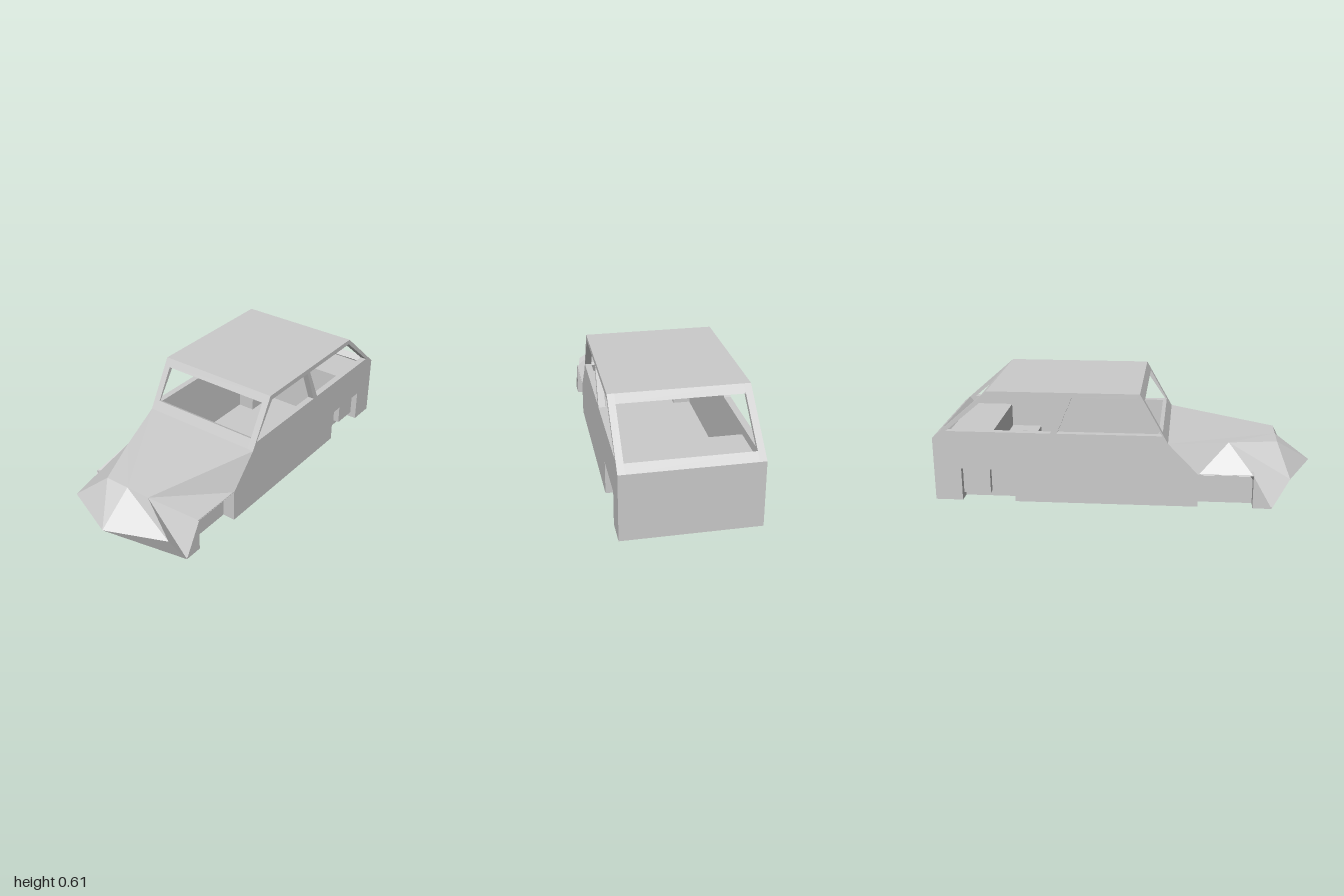
import * as THREE from 'three';

const material = new THREE.MeshStandardMaterial({ color: 0xcccccc, flatShading: true, side: THREE.DoubleSide });
const W = 0.345, IN = 0.31; // outer and inner half width
const toPath = (pts) => pts.map(([a, b]) => new THREE.Vector2(a, b));

// Extrude a (z, y) cross-section along x from x0 to x1
function prism(name, pts, x0, x1, holes = []) {
  const shape = new THREE.Shape(toPath(pts));
  holes.forEach((h) => shape.holes.push(new THREE.Path(toPath(h))));
  const geo = new THREE.ExtrudeGeometry(shape, { depth: x1 - x0, bevelEnabled: false });
  geo.rotateY(-Math.PI / 2).translate(x1, 0, 0);
  const mesh = new THREE.Mesh(geo, material);
  mesh.name = name;
  return mesh;
}

// Faceted shell; each triangle is turned to face away from the centre
function facets(name, tris, centre) {
  const pos = [];
  for (const tri of tris) {
    const [a, b, c] = tri.map((p) => new THREE.Vector3(...p));
    const n = b.clone().sub(a).cross(c.clone().sub(a));
    const out = a.clone().add(b).add(c).divideScalar(3).sub(centre);
    const order = n.dot(out) < 0 ? [a, c, b] : [a, b, c];
    order.forEach((v) => pos.push(v.x, v.y, v.z));
  }
  const geo = new THREE.BufferGeometry();
  geo.setAttribute('position', new THREE.Float32BufferAttribute(pos, 3));
  geo.computeVertexNormals();
  const mesh = new THREE.Mesh(geo, material);
  mesh.name = name;
  return mesh;
}

export function createModel() {
  const car = new THREE.Group();
  car.name = 'car';

  // Side walls with rear wheel notch and two windows
  const sideProfile = [
    [-1, 0], [-0.855, 0], [-0.855, 0.178], [-0.57, 0.178], [-0.57, 0], [0.395, 0], [0.395, 0.178],
    [0.235, 0.345], [0.09, 0.605], [-0.7, 0.605], [-1, 0.345],
  ];
  const frontWindow = [[0.205, 0.385], [0.075, 0.578], [-0.26, 0.578], [-0.34, 0.385]];
  const rearWindow = [[-0.375, 0.385], [-0.285, 0.578], [-0.695, 0.578], [-0.925, 0.385]];
  for (const [name, x0, x1] of [['leftSide', IN, W], ['rightSide', -W, -IN]]) {
    car.add(prism(name, sideProfile, x0, x1, [frontWindow, rearWindow]));
  }

  // Cross pieces between the side walls
  car.add(prism('roof', [[0.09, 0.605], [0.113, 0.564], [0.075, 0.578], [-0.69, 0.578], [-0.74, 0.57], [-0.7, 0.605]], -IN, IN));
  car.add(prism('cowl', [[0.235, 0.345], [0.207, 0.395], [0.185, 0.385], [0.205, 0.34]], -IN, IN));
  car.add(prism('tailPanel', [[-1, 0], [-1, 0.345], [-0.96, 0.38], [-0.935, 0.35], [-0.965, 0.32], [-0.965, 0]], -IN, IN));
  car.add(prism('rearShelf', [[-0.965, 0.03], [-0.965, 0.34], [-0.71, 0.34], [-0.71, 0.03]], -IN, IN));

  // Floor, notched around the four wheel wells
  const WELL = 0.275;
  const half = [
    [IN, -0.965], [IN, -0.855], [WELL, -0.855], [WELL, -0.57], [IN, -0.57],
    [IN, 0.395], [WELL, 0.395], [WELL, 0.68], [W, 0.68], [W, 0.78],
  ];
  const outline = [...half, ...half.map(([x, z]) => [-x, z]).reverse()];
  const floorGeo = new THREE.ExtrudeGeometry(new THREE.Shape(toPath(outline)), { depth: 0.01, bevelEnabled: false });
  floorGeo.rotateX(Math.PI / 2).translate(0, 0.01, 0);
  const floor = new THREE.Mesh(floorGeo, material);
  floor.name = 'floor';
  car.add(floor);

  // Wheel wells: an arch liner plus a thick inner wall
  for (const [label, z0, z1, t] of [['front', 0.395, 0.68, 0.004], ['rear', -0.855, -0.57, 0.03]]) {
    const top = 0.178;
    const arch = [
      [z0, 0], [z0, top], [z1, top], [z1, 0],
      [z1 + t, 0], [z1 + t, top + t], [z0 - t, top + t], [z0 - t, 0],
    ];
    const wall = [[z0 - t, 0], [z0 - t, top + t], [z1 + t, top + t], [z1 + t, 0]];
    const reach = label === 'front' ? W - 0.001 : IN;
    for (const s of [-1, 1]) {
      const span = (a, b) => (s > 0 ? [a, b] : [-b, -a]);
      car.add(prism(label + 'WheelArch', arch, ...span(WELL, reach)));
      car.add(prism(label + 'WellWall', wall, ...span(0.21, WELL)));
    }
  }

  // Bonnet, wings and pointed nose; the right wing meets the bonnet further back
  const cowlL = [W, 0.345, 0.235], cowlR = [-W, 0.345, 0.235];
  const lipL = [0.135, 0.3, 0.81], lipC = [0, 0.3, 0.81], lipR = [-0.135, 0.3, 0.81];
  const creaseR = [-0.235, 0.323, 0.55];
  const noseL = [0.31, 0.155, 0.87], noseC = [0, 0.155, 1], noseR = [-0.31, 0.155, 0.87];
  const chinL = [W, 0, 0.78], chinC = [0, 0, 0.78], chinR = [-W, 0, 0.78];
  const wing = (s, cowl, peak, nose, chin) => {
    const back = [s * W, 0.178, 0.395], front = [s * W, 0.178, 0.68], foot = [s * W, 0, 0.68];
    return [
      [cowl, back, peak], [back, front, peak], [front, chin, peak], [front, foot, chin], [peak, chin, nose],
    ];
  };
  const centre = new THREE.Vector3(0, 0.13, 0.5);
  car.add(facets('bonnet', [
    [cowlL, lipL, lipC], [cowlL, lipC, cowlR], [cowlR, lipC, creaseR], [creaseR, lipC, lipR],
  ], centre));
  car.add(facets('leftWing', wing(1, cowlL, lipL, noseL, chinL), centre));
  car.add(facets('rightWing', [...wing(-1, cowlR, creaseR, noseR, chinR), [creaseR, noseR, lipR]], centre));
  car.add(facets('nose', [
    [lipR, noseR, noseC], [lipR, noseC, lipC], [lipC, noseC, noseL], [lipC, noseL, lipL],
    [noseR, chinR, chinC], [noseR, chinC, noseC], [noseC, chinC, chinL], [noseC, chinL, noseL],
  ], centre));

  return car;
}
